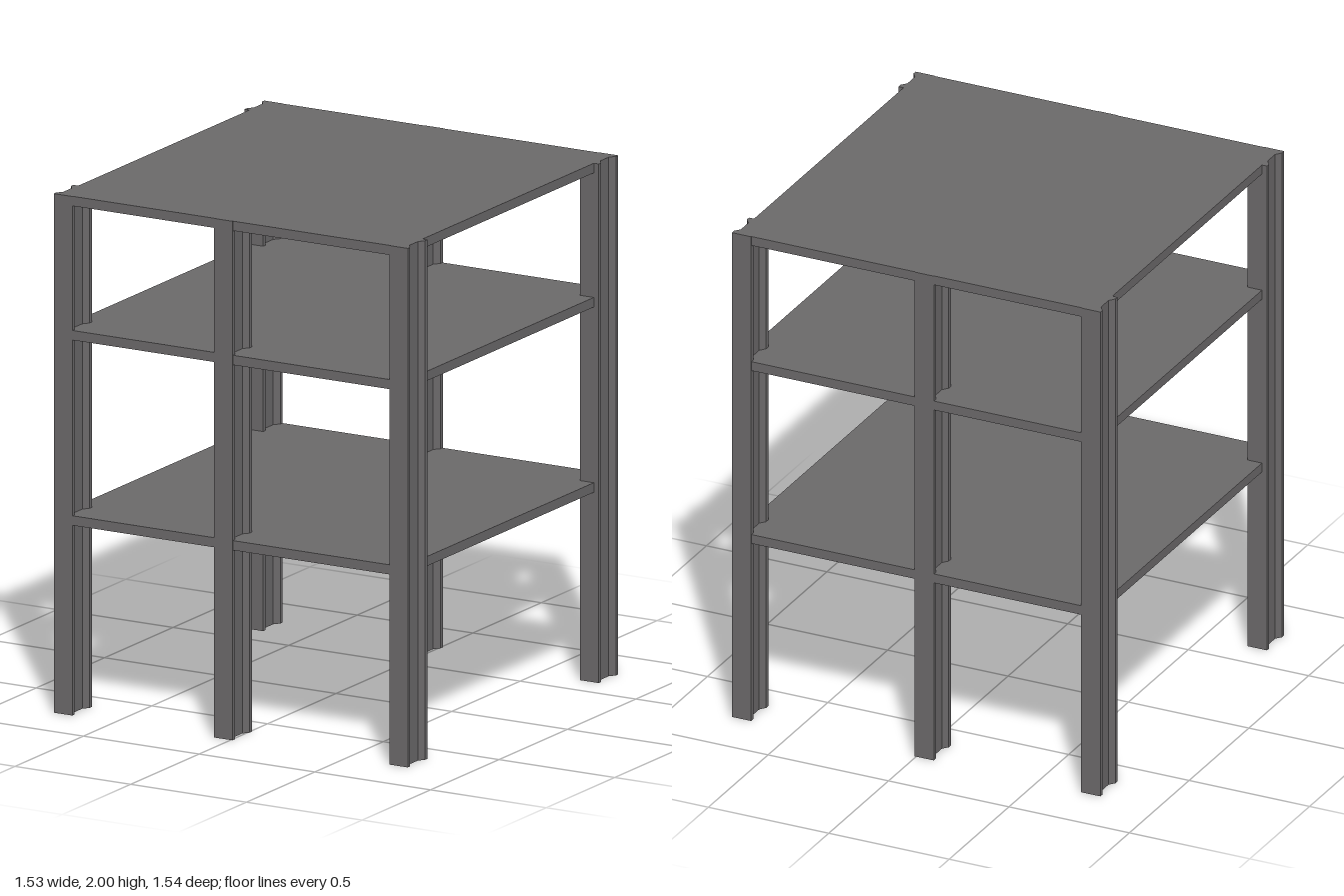
import * as THREE from 'three';

const HEIGHT = 2;

// I-shaped column section, extruded upright
function columnGeometry() {
  const w = 0.04, web = 0.0225, d = 0.0715, lip = 0.054, neck = 0.031;
  const side = [[w, -d], [w, -lip], [web, -neck], [web, neck], [w, lip], [w, d]];
  const points = [...side, ...side.map(([x, z]) => [-x, -z])];
  const shape = new THREE.Shape(points.map(([x, z]) => new THREE.Vector2(x, z)));
  const geometry = new THREE.ExtrudeGeometry(shape, { depth: HEIGHT, bevelEnabled: false });
  return geometry.rotateX(-Math.PI / 2);
}

export function createModel() {
  const model = new THREE.Group();
  model.name = 'buildingFrame';
  const concrete = new THREE.MeshStandardMaterial({ color: 0x6b696a });
  concrete.name = 'darkGreyConcrete';

  // Three columns along the front and three along the back
  const section = columnGeometry();
  const columns = [[0.725, 'left'], [-0.033, 'middle'], [-0.725, 'right']];
  for (const [x, xName] of columns) {
    for (const [sz, zName] of [[1, 'Front'], [-1, 'Back']]) {
      const column = new THREE.Mesh(section, concrete);
      column.name = `${xName}${zName}Column`;
      column.position.set(x, 0, sz * 0.697);
      model.add(column);
    }
  }

  // Two floors and the roof
  const slabThickness = 0.037;
  const slabGeometry = new THREE.BoxGeometry(1.488, slabThickness, 1.532);
  for (const [name, top] of [['lowerFloor', 0.769], ['upperFloor', 1.483], ['roofSlab', HEIGHT]]) {
    const slab = new THREE.Mesh(slabGeometry, concrete);
    slab.name = name;
    slab.position.y = top - slabThickness / 2;
    model.add(slab);
  }
  return model;
}
